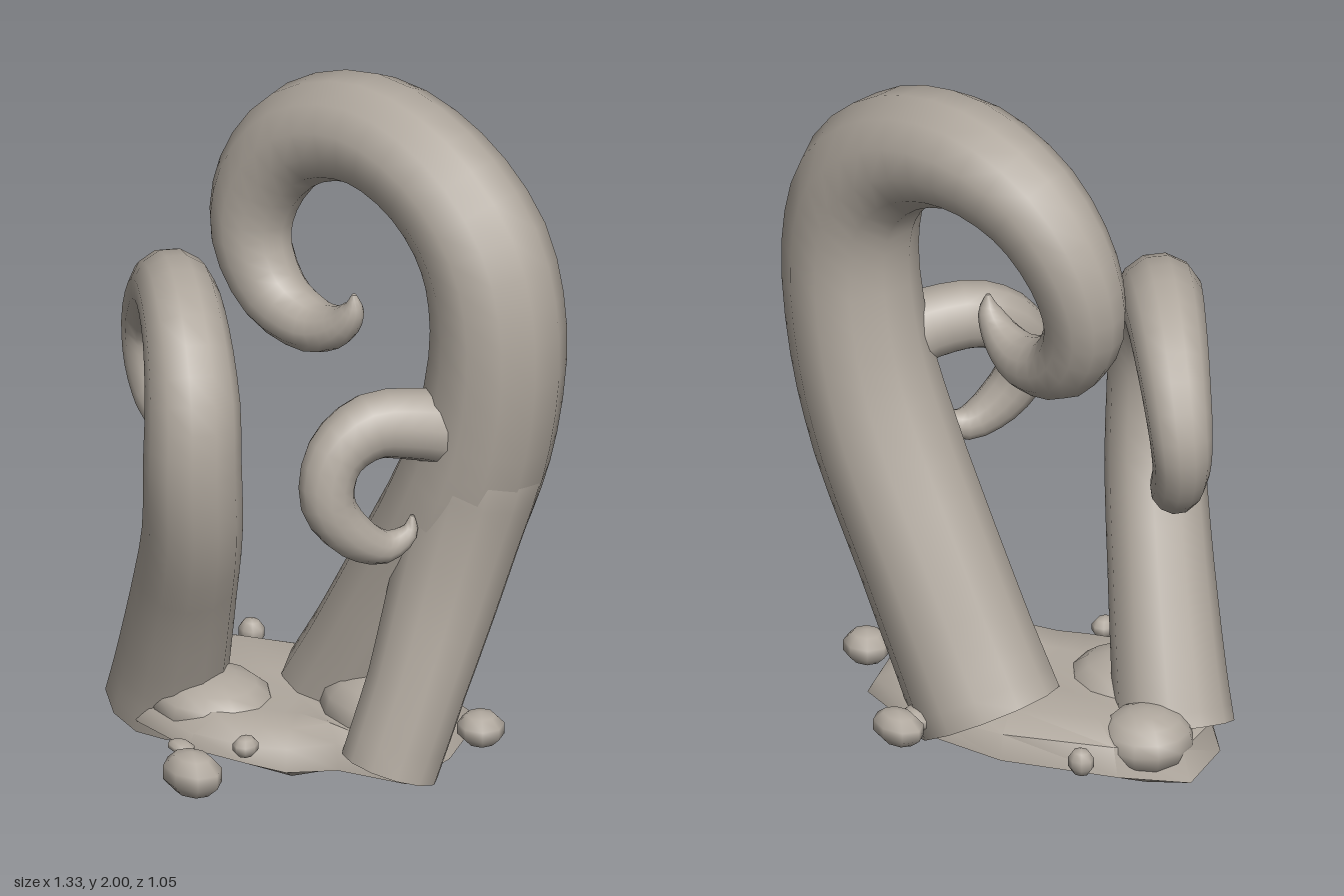
import * as THREE from 'three';
import { toCreasedNormals } from 'three/addons/utils/BufferGeometryUtils.js';

const SIDES = 12;

// Skin a list of closed rings (Vector3 arrays, counter-clockwise about the path) and cap both ends
function loft(rings, crease) {
  const n = rings[0].length, pos = [], idx = [];
  rings.forEach(r => r.forEach(p => pos.push(p.x, p.y, p.z)));
  for (let i = 0; i < rings.length - 1; i++) {
    for (let j = 0; j < n; j++) {
      const k = (j + 1) % n;
      const a = i * n + j, b = i * n + k, c = a + n, d = b + n;
      idx.push(a, b, c, b, d, c);
    }
  }
  const cap = (ring, first, flip) => {
    const m = new THREE.Vector3();
    ring.forEach(p => m.addScaledVector(p, 1 / n));
    const centre = pos.length / 3;
    pos.push(m.x, m.y, m.z);
    for (let j = 0; j < n; j++) {
      const a = first + j, b = first + (j + 1) % n;
      if (flip) idx.push(centre, b, a);
      else idx.push(centre, a, b);
    }
  };
  cap(rings[0], 0, true);
  cap(rings[rings.length - 1], (rings.length - 1) * n, false);
  const g = new THREE.BufferGeometry();
  g.setAttribute('position', new THREE.Float32BufferAttribute(pos, 3));
  g.setIndex(idx);
  return toCreasedNormals(g, crease);
}

// Tapered tube through rows of [x, y, z, radius]
function tentacle(rows) {
  const curve = new THREE.CatmullRomCurve3(rows.map(r => new THREE.Vector3(r[0], r[1], r[2])), false, 'centripetal');
  const spans = rows.length - 1, steps = spans * 3;
  const rings = [];
  // Parallel-carried frame keeps the skin from twisting
  let normal = new THREE.Vector3(0.3, 0, 1).normalize();
  for (let i = 0; i <= steps; i++) {
    const t = i / steps, f = t * spans, s = Math.min(Math.floor(f), spans - 1);
    const radius = THREE.MathUtils.lerp(rows[s][3], rows[s + 1][3], f - s);
    const p = curve.getPoint(t), tan = curve.getTangent(t);
    normal = normal.clone().addScaledVector(tan, -normal.dot(tan)).normalize();
    const bi = tan.clone().cross(normal);
    const ring = [];
    for (let j = 0; j < SIDES; j++) {
      const a = (j / SIDES) * Math.PI * 2;
      ring.push(p.clone().addScaledVector(normal, radius * Math.cos(a)).addScaledVector(bi, radius * Math.sin(a)));
    }
    rings.push(ring);
  }
  return loft(rings, 0.9);
}

// Jagged rocky slab from an outline of [x, z, top, bottom]
function slab() {
  const outline = [
    [-0.61, -0.02, 0.18, 0.0], [-0.56, 0.14, 0.19, 0.04], [-0.36, 0.28, 0.18, 0.09],
    [-0.13, 0.33, 0.19, 0.12], [0.03, 0.27, 0.18, 0.09], [0.12, 0.21, 0.18, 0.05],
    [0.23, 0.12, 0.2, 0.07], [0.44, 0.08, 0.18, 0.1], [0.42, -0.12, 0.2, 0.09],
    [0.32, -0.34, 0.17, 0.08], [0.05, -0.4, 0.18, 0.08], [-0.2, -0.34, 0.19, 0.06],
    [-0.49, -0.18, 0.2, 0.06]
  ];
  const ring = (scale, y) => outline.map(o => new THREE.Vector3(o[0] * scale, y(o), o[1] * scale));
  return loft([
    ring(0.7, o => o[3]),
    ring(1, o => o[3] * 0.5 + 0.07),
    ring(0.95, o => o[2] - 0.02),
    ring(0.75, o => o[2] + 0.02),
    ring(0.35, () => 0.2)
  ], 0.85);
}

export function createModel() {
  const group = new THREE.Group();
  const stone = new THREE.MeshStandardMaterial({ color: 0xb0a89e });
  stone.name = 'warm grey stone';

  const add = (name, geometry) => {
    const mesh = new THREE.Mesh(geometry, stone);
    mesh.name = name;
    group.add(mesh);
    return mesh;
  };

  // Squashed ball from centre and half sizes
  const blob = (name, [x, y, z, a, b, c], w, h) => {
    const mesh = add(name, new THREE.SphereGeometry(1, w, h));
    mesh.position.set(x, y, z);
    mesh.scale.set(a, b, c);
  };

  add('base', slab());

  // Tall tentacle arching over at the back
  add('largeTentacle', tentacle([
    [-0.02, 0.13, -0.21, 0.205], [0.075, 0.3, -0.215, 0.2], [0.205, 0.55, -0.225, 0.198],
    [0.36, 0.85, -0.235, 0.2], [0.445, 1.1, -0.245, 0.193], [0.483, 1.4, -0.247, 0.186],
    [0.425, 1.62, -0.25, 0.182], [0.255, 1.78, -0.25, 0.17], [0.02, 1.842, -0.245, 0.16],
    [-0.2, 1.77, -0.22, 0.144], [-0.33, 1.6, -0.19, 0.127], [-0.35, 1.43, -0.17, 0.112],
    [-0.26, 1.28, -0.165, 0.096], [-0.12, 1.235, -0.165, 0.078], [-0.02, 1.27, -0.16, 0.055],
    [0.03, 1.33, -0.16, 0.033], [0.035, 1.38, -0.16, 0.006]
  ]));

  // Medium tentacle curling outward on the right
  add('mediumTentacle', tentacle([
    [-0.41, 0.12, 0.11, 0.165], [-0.36, 0.25, 0.14, 0.157], [-0.25, 0.52, 0.215, 0.145],
    [-0.145, 0.78, 0.295, 0.137], [-0.112, 1.0, 0.332, 0.134], [-0.127, 1.17, 0.315, 0.13],
    [-0.215, 1.32, 0.243, 0.119], [-0.355, 1.363, 0.13, 0.111], [-0.49, 1.29, 0.03, 0.1],
    [-0.588, 1.13, -0.035, 0.086], [-0.578, 1.02, -0.025, 0.078], [-0.53, 0.94, 0.0, 0.07],
    [-0.46, 0.92, 0.05, 0.056], [-0.41, 0.96, 0.09, 0.037], [-0.385, 1.02, 0.1, 0.006]
  ]));

  // Leg that swells into the tall tentacle, and the small curl emerging above it
  add('smallTentacleLeg', tentacle([
    [0.335, 0.12, 0.03, 0.137], [0.36, 0.35, -0.055, 0.14], [0.375, 0.58, -0.14, 0.155],
    [0.4, 0.78, -0.195, 0.165], [0.435, 0.98, -0.235, 0.175], [0.465, 1.2, -0.247, 0.15]
  ]));
  add('smallTentacleCurl', tentacle([
    [0.45, 1.07, -0.25, 0.12], [0.36, 1.13, -0.07, 0.1], [0.285, 1.142, 0.05, 0.094],
    [0.245, 1.075, 0.15, 0.083], [0.25, 0.95, 0.185, 0.075], [0.29, 0.84, 0.125, 0.064],
    [0.33, 0.79, 0.04, 0.047], [0.36, 0.82, -0.02, 0.027], [0.365, 0.87, -0.03, 0.006]
  ]));

  // Swollen ground where the legs run into the base
  [
    [-0.46, 0.16, -0.04, 0.13, 0.09, 0.13], [0.2, 0.2, -0.1, 0.2, 0.12, 0.15],
    [-0.22, 0.17, 0.13, 0.18, 0.09, 0.16]
  ].forEach((m, i) => blob('mound' + (i + 1), m, 12, 8));

  // Loose pebbles
  [
    [0, 0.145, 0.455, 0.095, 0.065, 0.072], [-0.1, 0.168, 0.39, 0.045, 0.018, 0.03],
    [0.065, 0.15, -0.47, 0.085, 0.05, 0.06], [0.065, 0.15, -0.4, 0.05, 0.035, 0.06],
    [0.43, 0.17, -0.235, 0.07, 0.05, 0.066], [0.045, 0.18, 0.29, 0.035, 0.03, 0.04],
    [-0.435, 0.16, -0.265, 0.04, 0.04, 0.035]
  ].forEach((p, i) => blob('pebble' + (i + 1), p, 8, 5));

  return group;
}
